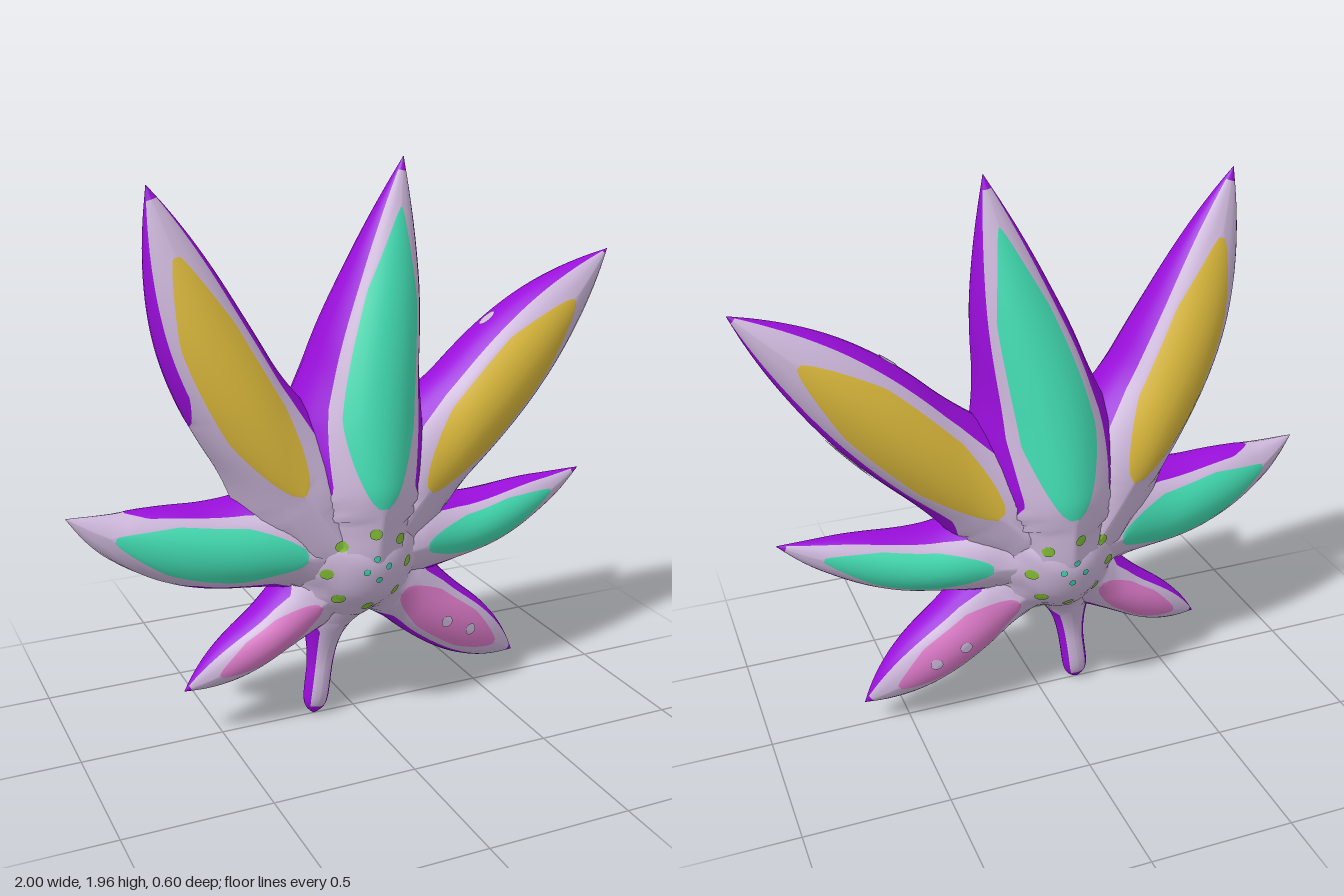
import * as THREE from 'three';
import { mergeVertices } from 'three/addons/utils/BufferGeometryUtils.js';

const paint = (name, color) => {
  const m = new THREE.MeshStandardMaterial({ color });
  m.name = name;
  return m;
};
const lilac = paint('lilac', 0xcdb7db);
const purple = paint('purple', 0x9a0edb);
const teal = paint('teal', 0x42dcb2);
const yellow = paint('yellow', 0xdab83b);
const pink = paint('pink', 0xdc7ac8);
const green = paint('green', 0x86c238);

const ROWS = 60;
const BAND_COLUMNS = [3, 3, 6, 3, 3];
const HALF = BAND_COLUMNS.reduce((a, b) => a + b);
const BAND_OF = BAND_COLUMNS.flatMap((n, b) => Array(n).fill(b));
const FILLET = 0.16;

// Size along a leaf: swells from the base to the peak, then falls to nothing at the tip
function swell(t, base, max, peak, power) {
  const f = t < peak
    ? THREE.MathUtils.lerp(base, 1, Math.sin(Math.PI / 2 * t / peak))
    : 1 - Math.pow((t - peak) / (1 - peak), power);
  return Math.max(0.0005, max * f);
}

// Narrows a painted area towards both ends of its range
const taper = (t, [a, b], soft) =>
  Math.sqrt(THREE.MathUtils.clamp(Math.min((t - a) / soft, (b - t) / soft), 0, 1));

// Sweeps an elliptical section along a path, with columns following the painted bands.
// Rims are painted ranges of the edges, right of travel first; beyond tip all is purple.
function makeLeaf(name, colour, points, {
  width, widthBase = 0.65, peak = 0.46, power = 2.2,
  depth, depthBase = 0.85, depthPeak = 0.2, depthPower = 2,
  panel = [0.2, 0.84], rims = [[0.14, 2], [0.14, 2]], rimAngle = 0.6, tip = 0.97,
}) {
  const path = new THREE.SplineCurve(points.map(p => new THREE.Vector2(...p)));
  const positions = [], sections = [];
  const columns = 2 * HALF;

  for (let i = 0; i <= ROWS; i++) {
    const t = i / ROWS;
    const c = path.getPointAt(t), d = path.getTangentAt(t);
    const w = swell(t, widthBase, width, peak, power);
    const z = swell(t, depthBase, depth, depthPeak, depthPower);
    sections.push({ x: c.x, y: c.y, w, z });
    const open = Math.max(0.03, 0.7 * taper(t, panel, 0.2));
    const flare = 1 + 0.5 * Math.max(0, 1 - t / 0.4);
    const [p, q] = rims.map(r =>
      THREE.MathUtils.clamp(rimAngle * flare * taper(t, r, 0.08), 0.03, Math.PI / 2 - open - 0.08));
    const bounds = [0, p, Math.PI / 2 - open, Math.PI / 2 + open, Math.PI - q, Math.PI];
    const angles = BAND_COLUMNS.flatMap((n, b) =>
      Array.from({ length: n }, (_, k) => THREE.MathUtils.lerp(bounds[b], bounds[b + 1], k / n)));
    const ring = [...angles, Math.PI, ...angles.slice(1).reverse().map(a => 2 * Math.PI - a)];
    for (const a of ring) {
      const u = w * Math.cos(a);
      positions.push(c.x + d.y * u, c.y - d.x * u, z * Math.sin(a));
    }
  }

  const faces = new Map([[lilac, []], [purple, []], [colour, []]]);
  const within = (t, [a, b]) => t >= a && t <= b;
  for (let i = 0; i < ROWS; i++) {
    const t = (i + 0.5) / ROWS;
    for (let j = 0; j < columns; j++) {
      const band = BAND_OF[j < HALF ? j : columns - 1 - j];
      let m = lilac;
      if (t > tip || (band === 0 && within(t, rims[0])) || (band === 4 && within(t, rims[1]))) m = purple;
      else if (band === 2 && within(t, panel)) m = colour;
      const a = i * columns + j, b = i * columns + (j + 1) % columns;
      faces.get(m).push(a, a + columns, b, b, a + columns, b + columns);
    }
  }

  const geometry = new THREE.BufferGeometry();
  geometry.setAttribute('position', new THREE.Float32BufferAttribute(positions, 3));
  const materials = [...faces.keys()];
  const index = [];
  materials.forEach((m, k) => {
    geometry.addGroup(index.length, faces.get(m).length, k);
    index.push(...faces.get(m));
  });
  geometry.setIndex(index);
  geometry.computeVertexNormals();
  const mesh = new THREE.Mesh(geometry, materials);
  mesh.name = name;
  return { mesh, sections };
}

// Domed hub joining the leaves
function makeHub(x, y, w, z) {
  const ball = new THREE.SphereGeometry(1, 48, 32).scale(w, w, z).translate(x, y, 0);
  ball.deleteAttribute('uv');
  ball.deleteAttribute('normal');
  const geometry = mergeVertices(ball);
  geometry.computeVertexNormals();
  const mesh = new THREE.Mesh(geometry, lilac);
  mesh.name = 'hub';
  return { mesh, sections: [{ x, y, w, z }] };
}

// Rough distance from a point to a part, taken as a row of ellipsoids
function distance(v, sections) {
  let best = Infinity;
  for (const s of sections) {
    const r2 = (v.x - s.x) ** 2 + (v.y - s.y) ** 2, z2 = v.z ** 2;
    const e = Math.max(1e-6, Math.sqrt(r2 / s.w ** 2 + z2 / s.z ** 2));
    best = Math.min(best, (e - 1) * Math.sqrt(r2 + z2) / e);
  }
  return best;
}

// Swells each part outward where it nears another, so the joints run together smoothly
function blend(parts) {
  const v = new THREE.Vector3(), n = new THREE.Vector3();
  for (const part of parts) {
    const { position, normal } = part.mesh.geometry.attributes;
    const others = parts.filter(p => p !== part);
    for (let i = 0; i < position.count; i++) {
      v.fromBufferAttribute(position, i);
      const near = Math.min(...others.map(p => distance(v, p.sections)));
      const h = THREE.MathUtils.clamp(1 - near / FILLET, 0, 1);
      v.addScaledVector(n.fromBufferAttribute(normal, i), FILLET / 4 * h * h);
      position.setXYZ(i, v.x, v.y, v.z);
    }
    part.mesh.geometry.computeVertexNormals();
  }
}

// Lays a thin oval on the body, projected against the outward direction
function makeSpot(name, body, centre, out, rx, ry, material) {
  const geometry = new THREE.RingGeometry(0, 1, 16, 5);
  const turn = new THREE.Matrix4().lookAt(out, new THREE.Vector3(), new THREE.Vector3(0, 0, 1));
  const ray = new THREE.Raycaster();
  const pos = geometry.attributes.position;
  const size = new THREE.Vector3(rx, ry, 1);
  const v = new THREE.Vector3();
  for (let i = 0; i < pos.count; i++) {
    v.fromBufferAttribute(pos, i).multiply(size).applyMatrix4(turn).add(centre);
    ray.set(v.clone().addScaledVector(out, 2), out.clone().negate());
    const hit = ray.intersectObjects(body, false)[0];
    if (hit) v.copy(hit.point);
    v.addScaledVector(out, 0.005);
    pos.setXYZ(i, v.x, v.y, v.z);
  }
  geometry.computeVertexNormals();
  const mesh = new THREE.Mesh(geometry, material);
  mesh.name = name;
  return mesh;
}

export function createModel() {
  const model = new THREE.Group();
  model.name = 'leaf';

  const hub = makeHub(-0.03, 0.63, 0.205, 0.235);

  // Tall upper leaves
  const middle = makeLeaf('middleLeaf', teal, [[-0.03, 0.6], [0, 1.1], [0.1, 1.56], [0.182, 1.955]],
    { width: 0.203, peak: 0.37, power: 1.7, depth: 0.3, depthBase: 0.7, depthPeak: 0.22, depthPower: 1.25,
      panel: [0.18, 0.88], rimAngle: 0.65 });
  const upperRight = makeLeaf('upperRightLeaf', yellow, [[-0.12, 0.68], [-0.32, 1.0], [-0.53, 1.41], [-0.69, 1.9]],
    { width: 0.17, peak: 0.42, depth: 0.215, depthPower: 1.8, rims: [[0.14, 2], [0.45, 2]] });
  const upperLeft = makeLeaf('upperLeftLeaf', yellow, [[0.03, 0.68], [0.41, 1.06], [0.72, 1.36], [1, 1.6]],
    { width: 0.172, depth: 0.182, depthPower: 2.8, panel: [0.18, 0.82], rims: [[0.17, 2], [0.14, 2]], tip: 0.985 });

  // Side leaves
  const sideRight = makeLeaf('sideRightLeaf', teal, [[-0.05, 0.66], [-0.5, 0.7], [-0.82, 0.78], [-1, 0.867]],
    { width: 0.145, power: 2, depth: 0.165, rims: [[0.2, 0.82], [0.2, 0.62]], tip: 2 });
  const sideLeft = makeLeaf('sideLeftLeaf', teal, [[0, 0.64], [0.42, 0.64], [0.74, 0.72], [0.92, 0.787]],
    { width: 0.107, widthBase: 0.8, power: 2, depth: 0.15, depthPower: 1.8, panel: [0.23, 0.84],
      rims: [[0.18, 2], [0.18, 2]] });

  // Small lower leaves
  const lowerRight = makeLeaf('lowerRightLeaf', pink, [[-0.06, 0.58], [-0.33, 0.36], [-0.632, 0.185]],
    { width: 0.09, widthBase: 0.85, power: 2.7, depth: 0.125, depthPower: 2.5, panel: [0.24, 0.82],
      rims: [[0.22, 2], [0.22, 2]] });
  const lowerLeft = makeLeaf('lowerLeftLeaf', pink, [[0, 0.58], [0.3, 0.34], [0.66, 0.093]],
    { width: 0.124, power: 2.6, depth: 0.128, depthPower: 3, panel: [0.2, 0.84], rims: [[0.2, 2], [0.2, 2]] });

  // Stem, flaring into the hub
  const stem = makeLeaf('stem', lilac, [[-0.05, 0.53], [-0.115, 0.28], [-0.155, 0]],
    { width: 0.046, widthBase: 2, peak: 0.7, power: 7, depth: 0.044, depthBase: 3.5, depthPeak: 0.65,
      depthPower: 5, panel: [2, 3], rims: [[0.3, 2], [0.3, 2]], rimAngle: 0.85, tip: 0.94 });

  const parts = [hub, middle, upperRight, upperLeft, sideRight, sideLeft, lowerRight, lowerLeft, stem];
  blend(parts);
  const body = parts.map(p => p.mesh);
  model.add(...body);

  // Dots on both faces: a ring on the hub, a cluster at its centre, two on a lower leaf
  const addDots = (name, material, r, places) => {
    for (const [x, y] of places)
      for (const side of [1, -1])
        model.add(makeSpot(name, body, new THREE.Vector3(x, y, 0), new THREE.Vector3(0, 0, side), r, r, material));
  };
  const ringOf = (n, x, y, r, start) => Array.from({ length: n }, (_, k) => {
    const a = start + k * 2 * Math.PI / n;
    return [x + r * Math.cos(a), y + r * Math.sin(a)];
  });
  addDots('ringDot', green, 0.02, ringOf(8, -0.04, 0.62, 0.145, 0.03 - Math.PI / 4));
  addDots('centreDot', teal, 0.012, ringOf(4, -0.03, 0.635, 0.04, 0.15));
  addDots('leafDot', lilac, 0.022, [[0.315, 0.32], [0.42, 0.265]]);

  // Pale ovals on the lower and upper edges of the upper left leaf
  for (const [name, x, y, side, rx, ry] of [['underSpot', 0.66, 1.08, 1, 0.13, 0.07], ['upperSpot', 0.51, 1.39, -1, 0.035, 0.022]])
    model.add(makeSpot(name, [upperLeft.mesh], new THREE.Vector3(x, y, 0),
      new THREE.Vector3(0.71 * side, -0.71 * side, 0).normalize(), rx, ry, lilac));
  return model;
}
